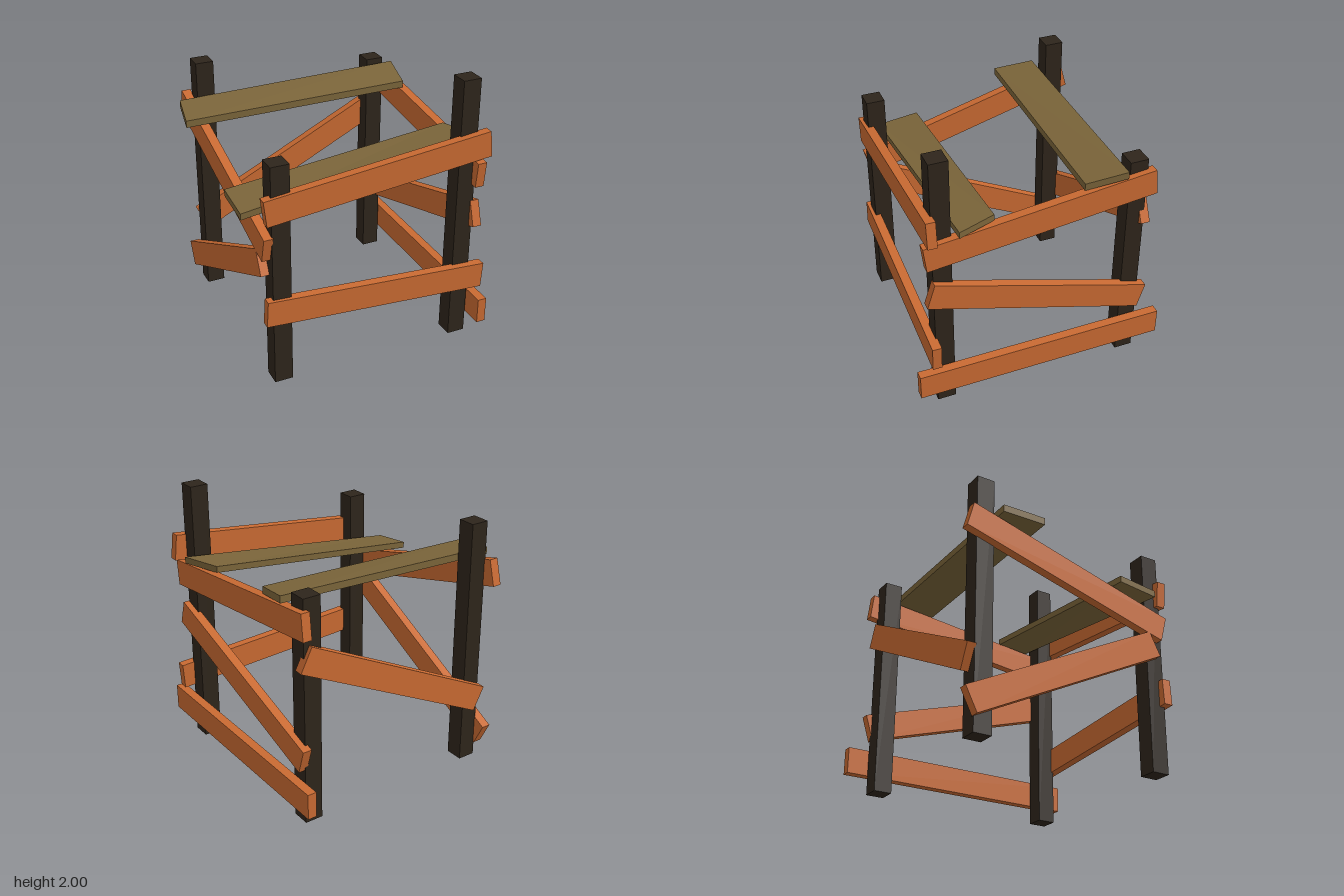
import * as THREE from 'three';

const rad = THREE.MathUtils.degToRad;
const material = (color) => new THREE.MeshStandardMaterial({ color, flatShading: true });

export function createModel() {
  const group = new THREE.Group();
  const postMat = material(0x2e251b);
  const railMat = material(0xc96a32);
  const plankMat = material(0x7b653a);

  const add = (name, geometry, mat, x, y, z) => {
    const mesh = new THREE.Mesh(geometry, mat);
    mesh.name = name;
    mesh.position.set(x, y, z);
    group.add(mesh);
    return mesh;
  };

  // Four upright posts of uneven height
  const post = (name, x, z, h) =>
    add(name, new THREE.BoxGeometry(0.132, h, 0.132), postMat, x, h / 2, z);
  post('frontLeftPost', 0.73, 0.698, 2);
  post('frontRightPost', -0.645, 0.698, 1.66);
  post('backLeftPost', 0.73, -0.695, 1.66);
  post('backRightPost', -0.645, -0.695, 1.85);

  // Rails running across the front and back, tilted and very slightly skewed
  const crossRail = (name, x, y, z, tilt) => {
    const rail = add(name, new THREE.BoxGeometry(1.65, 0.19, 0.066), railMat, x, y, z);
    rail.rotation.set(0, -0.019, rad(tilt));
  };
  crossRail('frontUpperRail', 0.06, 1.438, 0.77, 6.4);
  crossRail('frontLowerRail', 0.062, 0.535, 0.77, -3.5);
  crossRail('backBrace', 0.058, 0.878, -0.772, 26.7);

  // Rails running along the sides; a positive tilt rises toward the back
  const sideRail = (name, x, y, z, tilt, length = 1.65) => {
    const rail = add(name, new THREE.BoxGeometry(0.066, 0.19, length), railMat, x, y, z);
    rail.rotation.x = rad(tilt);
  };
  sideRail('leftUpperRail', 0.808, 1.402, 0.005, 6.4);
  sideRail('leftMiddleRail', 0.808, 0.752, 0.008, -17.4);
  sideRail('leftLowerRail', 0.844, 0.243, 0, 0, 1.82);
  sideRail('rightUpperRail', -0.738, 1.278, -0.045, 15.1);
  sideRail('rightBrace', -0.738, 0.557, -0.075, -26.7);

  // Warped planks: a box whose vertices are moved onto four top corners
  // (back right, front right, back left, front left) and a thickness
  const plank = (name, corners, thickness) => {
    const geometry = new THREE.BoxGeometry(1, 1, 1);
    const p = geometry.attributes.position;
    for (let i = 0; i < p.count; i++) {
      const [x, y, z] = corners[(p.getX(i) > 0 ? 2 : 0) + (p.getZ(i) > 0 ? 1 : 0)];
      p.setXYZ(i, x, p.getY(i) > 0 ? y : y - thickness, z);
    }
    geometry.computeVertexNormals();
    add(name, geometry, plankMat, 0, 0, 0);
  };
  plank('frontPlank', [
    [-0.862, 1.325, 0.312], [-0.862, 1.29, 0.61],
    [0.785, 1.505, 0.332], [0.887, 1.51, 0.606],
  ], 0.047);
  plank('backPlank', [
    [-0.845, 1.59, -0.633], [-0.895, 1.555, -0.343],
    [0.852, 1.635, -0.59], [0.802, 1.585, -0.298],
  ], 0.052);

  return group;
}
